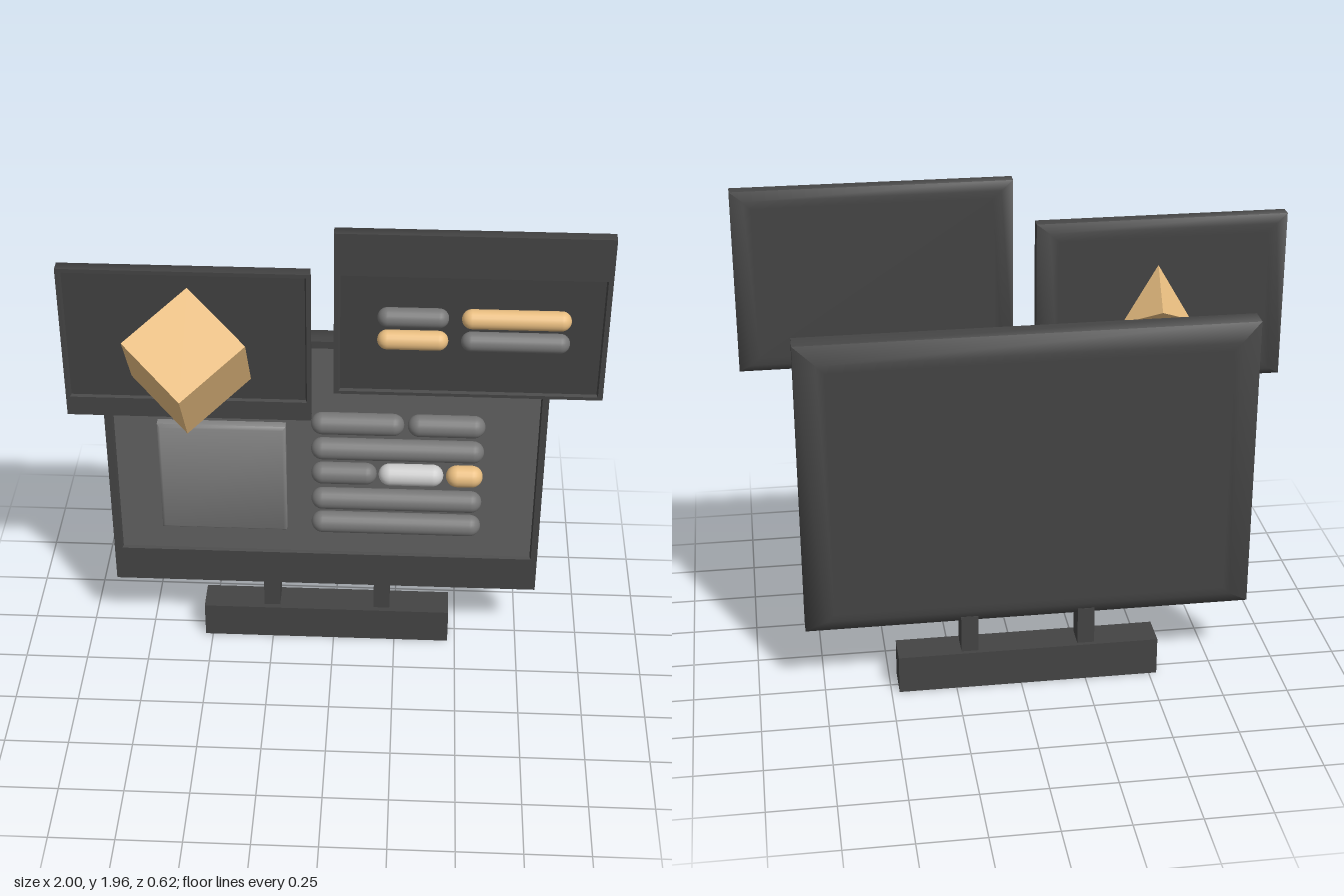
import * as THREE from 'three';
import { toCreasedNormals } from 'three/addons/utils/BufferGeometryUtils.js';

const mat = (color) => new THREE.MeshStandardMaterial({ color });
const casing = mat(0x444444);
const screenLight = mat(0x606060);
const screenDark = mat(0x404040);
const grey = mat(0x777777);
const pale = mat(0xcccccc);
const tan = mat(0xe8bd80);

// Skin of rectangles [x0, x1, y0, y1, z], listed from back to front
function loftRects(rings, capFront) {
  const pos = [];
  const corners = ([x0, x1, y0, y1, z]) => [[x0, y0, z], [x1, y0, z], [x1, y1, z], [x0, y1, z]];
  const quad = (a, b, c, d) => pos.push(...a, ...b, ...c, ...a, ...c, ...d);
  const loops = rings.map(corners);
  for (let r = 0; r < loops.length - 1; r++) {
    const a = loops[r], b = loops[r + 1];
    for (let i = 0; i < 4; i++) {
      const j = (i + 1) % 4;
      quad(a[i], a[j], b[j], b[i]);
    }
  }
  const back = loops[0];
  quad(back[3], back[2], back[1], back[0]);
  if (capFront) quad(...loops[loops.length - 1]);
  const g = new THREE.BufferGeometry();
  g.setAttribute('position', new THREE.Float32BufferAttribute(pos, 3));
  return toCreasedNormals(g, 1.1);
}

function add(parent, name, geometry, material, x = 0, y = 0, z = 0) {
  const m = new THREE.Mesh(geometry, material);
  m.name = name;
  m.position.set(x, y, z);
  parent.add(m);
  return m;
}

// Monitor: chamfered back, thin frame, shallow recess holding the screen
function monitor(name, [x0, x1, y0, y1], [zBack, zFront], [cx, cy, cz], screen, screenMat) {
  const group = new THREE.Group();
  group.name = name;
  const inset = (dx, dy, z) => [x0 + dx, x1 - dx, y0 + dy, y1 - dy, z];
  const [sx0, sx1, sy0, sy1] = screen;
  const zScreen = zFront - 0.012;
  add(group, name + 'Casing', loftRects([
    inset(cx + 0.03, cy + 0.03, zBack),
    inset(cx, cy, zBack),
    inset(0, 0, zBack + cz),
    inset(0, 0, zFront),
    [sx0 - 0.005, sx1 + 0.005, sy0 - 0.005, sy1 + 0.005, zFront],
    [...screen, zScreen],
  ], false), casing);
  add(group, name + 'Screen', new THREE.PlaneGeometry(sx1 - sx0, sy1 - sy0), screenMat,
    (sx0 + sx1) / 2, (sy0 + sy1) / 2, zScreen);
  return group;
}

// Horizontal rounded bar from x0 to x1
function pill(parent, x0, x1, y, z, r, material) {
  const g = new THREE.CapsuleGeometry(r, x1 - x0 - 2 * r, 8, 20).rotateZ(Math.PI / 2);
  add(parent, 'textBar', g, material, (x0 + x1) / 2, y, z);
}

function box(parent, name, x0, x1, y0, y1, z0, z1) {
  add(parent, name, new THREE.BoxGeometry(x1 - x0, y1 - y0, z1 - z0), casing,
    (x0 + x1) / 2, (y0 + y1) / 2, (z0 + z1) / 2);
}

export function createModel() {
  const model = new THREE.Group();
  model.name = 'monitorDisplay';

  // Stand
  box(model, 'standBase', -0.53, 0.47, 0, 0.15, -0.305, -0.172);
  box(model, 'standPost', -0.285, -0.22, 0.14, 0.3, -0.288, -0.194);
  box(model, 'standPost', 0.163, 0.228, 0.14, 0.3, -0.288, -0.194);

  // Main monitor with picture panel and rows of bars
  const main = monitor('mainMonitor', [-0.885, 0.815, 0.275, 1.435], [-0.312, -0.185],
    [0.08, 0.06, 0.045], [-0.85, 0.785, 0.435, 1.4], screenLight);
  add(main, 'picturePanel', loftRects([
    [-0.68, -0.185, 0.563, 1.058, -0.2],
    [-0.68, -0.185, 0.563, 1.058, -0.165],
    [-0.668, -0.197, 0.575, 1.046, -0.153],
  ], true), mat(0x808080));
  const rows = [
    [1.07, [-0.088, 0.27, grey], [0.283, 0.58, grey]],
    [0.952, [-0.088, 0.58, grey]],
    [0.836, [-0.088, 0.168, grey], [0.175, 0.427, pale], [0.437, 0.58, tan]],
    [0.713, [-0.088, 0.58, grey]],
    [0.597, [-0.088, 0.58, grey]],
  ];
  for (const [y, ...bars] of rows)
    for (const [x0, x1, m] of bars) pill(main, x0, x1, y, -0.183, 0.044, m);

  // Small monitor with the cube standing out of it
  const cubeMonitor = monitor('cubeMonitor', [-1, -0.08, 1.16, 1.79], [-0.133, -0.065],
    [0.045, 0.03, 0.022], [-0.98, -0.1, 1.245, 1.77], screenDark);
  const cube = add(cubeMonitor, 'cube', new THREE.BoxGeometry(0.314, 0.314, 0.314), tan,
    -0.523, 1.475, 0.035);
  cube.rotation.set(0.62, Math.PI / 4, 0);

  // Small monitor with four bars
  const barMonitor = monitor('barMonitor', [0.005, 1, 1.285, 1.96], [-0.133, -0.065],
    [0.045, 0.03, 0.022], [0.028, 0.977, 1.303, 1.786], screenDark);
  [[1.623, grey, tan], [1.528, tan, grey]].forEach(([y, left, right]) => {
    pill(barMonitor, 0.163, 0.422, y, -0.066, 0.037, left);
    pill(barMonitor, 0.468, 0.863, y, -0.066, 0.037, right);
  });

  model.add(main, cubeMonitor, barMonitor);
  return model;
}
